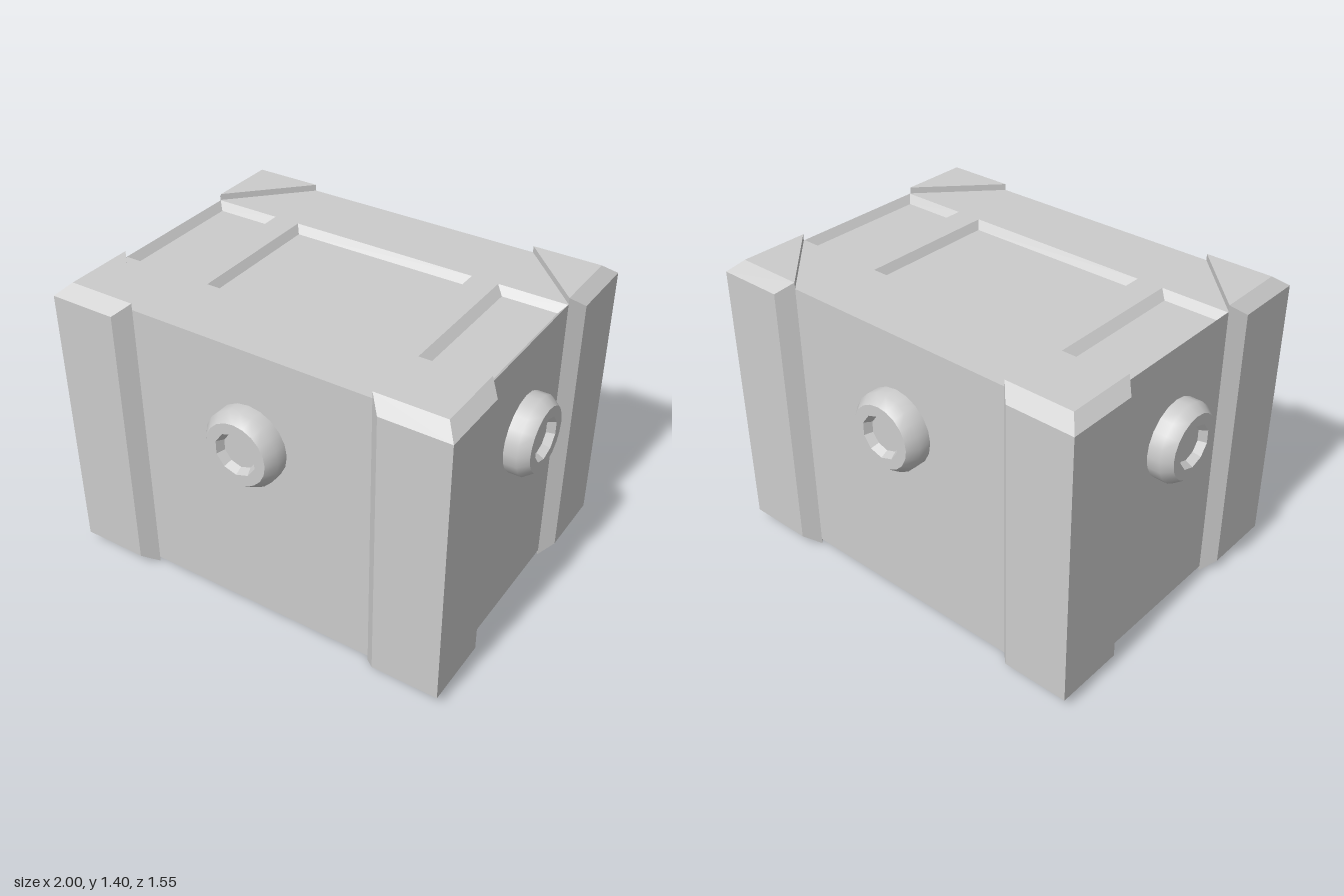
import * as THREE from 'three';
import { ConvexGeometry } from 'three/addons/geometries/ConvexGeometry.js';

const X = 0.895, Z = 0.67, TOP = 1.37, FLOOR = 1.335, RZ = 0.335;

const flat = new THREE.MeshStandardMaterial({ color: 0xcccccc, flatShading: true });
const smooth = new THREE.MeshStandardMaterial({ color: 0xcccccc });
const inside = new THREE.MeshStandardMaterial({ color: 0xcccccc, flatShading: true, side: THREE.BackSide });

function part(name, geometry, material, parent) {
  const mesh = new THREE.Mesh(geometry, material);
  mesh.name = name;
  parent.add(mesh);
  return mesh;
}

// Lofts through rectangles [x0, x1, z0, z1, y], with optional end caps
function loftRects(levels, capStart, capEnd) {
  const pos = [], index = [];
  for (const [x0, x1, z0, z1, y] of levels) {
    pos.push(x1, y, z1, x1, y, z0, x0, y, z0, x0, y, z1);
  }
  for (let l = 0; l < levels.length - 1; l++) {
    for (let i = 0; i < 4; i++) {
      const a = l * 4 + i, b = l * 4 + (i + 1) % 4;
      index.push(a, b, b + 4, a, b + 4, a + 4);
    }
  }
  const e = (levels.length - 1) * 4;
  if (capStart) index.push(0, 2, 1, 0, 3, 2);
  if (capEnd) index.push(e, e + 1, e + 2, e, e + 2, e + 3);
  const g = new THREE.BufferGeometry();
  g.setAttribute('position', new THREE.Float32BufferAttribute(pos, 3));
  g.setIndex(index);
  const out = g.toNonIndexed();
  out.computeVertexNormals();
  return out;
}

function createBody() {
  const body = new THREE.Group();
  body.name = 'body';
  part('bodyWalls', loftRects([[-X, X, -Z, Z, 0.025], [-X, X, -Z, Z, TOP]], true, false), flat, body);

  // Top face, notched at both ends and open in the middle
  const v = (x, y) => new THREE.Vector2(x, y);
  const shape = new THREE.Shape([
    v(-X, -Z), v(X, -Z), v(X, -RZ), v(0.575, -RZ), v(0.575, RZ), v(X, RZ),
    v(X, Z), v(-X, Z), v(-X, RZ), v(-0.575, RZ), v(-0.575, -RZ), v(-X, -RZ),
  ]);
  shape.holes.push(new THREE.Path([v(-0.45, -RZ), v(-0.45, RZ), v(0.45, RZ), v(0.45, -RZ)]));
  const top = new THREE.ShapeGeometry(shape).rotateX(-Math.PI / 2).translate(0, TOP, 0);
  part('topFace', top, flat, body);

  // Recessed panels with sloping sides
  const recesses = {
    centrePanel: [-0.45, 0.45, -0.425, 0.425],
    leftPanel: [0.575, X, 0.61, 0.865],
    rightPanel: [-X, -0.575, -0.865, -0.61],
  };
  for (const [name, [a, b, c, d]] of Object.entries(recesses)) {
    part(name, loftRects([[a, b, -RZ, RZ, TOP], [c, d, -0.305, 0.305, FLOOR]], false, true), flat, body);
  }
  return body;
}

// Bevelled post wrapping one vertical edge
function createCornerPost(sx, sz) {
  const points = [];
  const add = (x, z, y) => points.push(new THREE.Vector3(sx * x, y, sz * z));
  for (const y of [0.05, 1.35]) {
    add(0.635, 0.735, y);
    add(0.95, 0.735, y);
    add(0.95, 0.4, y);
  }
  for (const y of [0, 1.4]) {
    add(0.575, Z, y);
    add(X, Z, y);
    add(X, 0.34, y);
  }
  return new ConvexGeometry(points);
}

// Round boss with a ten-sided socket, facing +z
function createBoss(name) {
  const boss = new THREE.Group();
  boss.name = name;
  const rim = [[0.18, -0.01], [0.18, 0.06], [0.147, 0.105]].map(p => new THREE.Vector2(...p));
  part('bossRim', new THREE.LatheGeometry(rim, 20).rotateX(Math.PI / 2), smooth, boss);

  const circle = (r, n) => Array.from({ length: n }, (_, i) => {
    const t = (i / n) * Math.PI * 2;
    return new THREE.Vector2(r * Math.sin(t), -r * Math.cos(t));
  });
  const face = new THREE.Shape(circle(0.147, 20));
  face.holes.push(new THREE.Path(circle(0.1, 10)));
  part('bossFace', new THREE.ShapeGeometry(face).translate(0, 0, 0.105), flat, boss);

  const wall = new THREE.CylinderGeometry(0.1, 0.082, 0.035, 10, 1, true);
  part('socketWall', wall.rotateX(Math.PI / 2).translate(0, 0, 0.0875), inside, boss);
  part('socketFloor', new THREE.ShapeGeometry(new THREE.Shape(circle(0.082, 10))).translate(0, 0, 0.07), flat, boss);
  return boss;
}

export function createModel() {
  const model = new THREE.Group();
  model.name = 'crate';
  model.add(createBody());

  for (const sx of [-1, 1]) {
    for (const sz of [-1, 1]) {
      const name = (sz > 0 ? 'front' : 'back') + (sx > 0 ? 'Left' : 'Right') + 'Post';
      part(name, createCornerPost(sx, sz), flat, model);
    }
  }

  // One boss on each side wall
  ['frontBoss', 'leftBoss', 'backBoss', 'rightBoss'].forEach((name, i) => {
    const boss = createBoss(name);
    const angle = i * Math.PI / 2;
    boss.rotation.y = angle;
    boss.position.set(Math.sin(angle) * X, 0.935, Math.cos(angle) * Z);
    model.add(boss);
  });
  return model;
}
